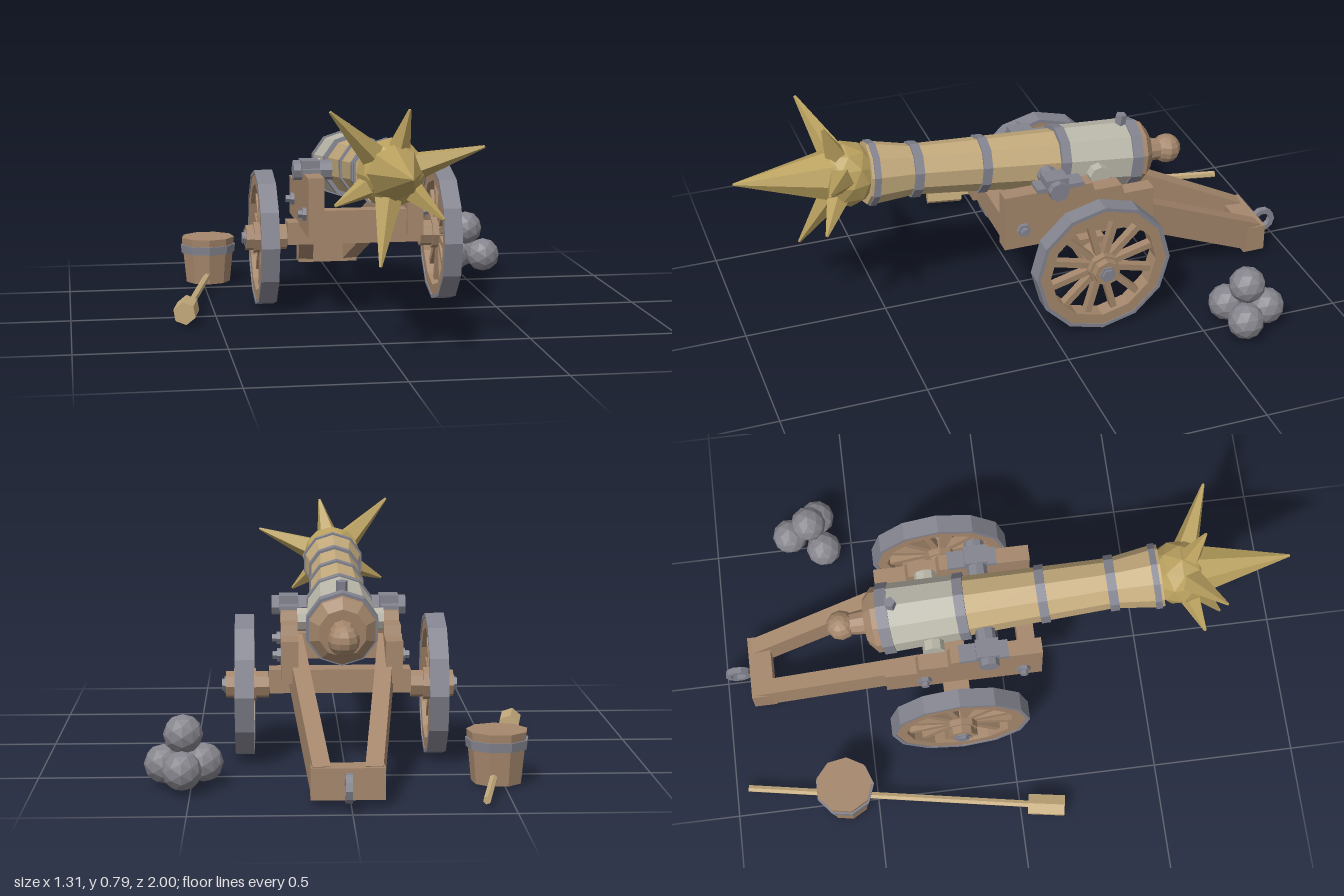
import * as THREE from 'three';

const mat = (name, color) => {
  const m = new THREE.MeshStandardMaterial({ color, flatShading: true });
  m.name = name;
  return m;
};

export function createModel() {
  const wood = mat('brown wood', 0xa5876c);
  const bronze = mat('tan bronze', 0xc3aa7c);
  const steel = mat('blue grey steel', 0x83848f);
  const pale = mat('pale metal', 0xbab7aa);
  const gold = mat('dull gold', 0xb9a05e);
  const iron = mat('grey iron', 0x86858d);

  const root = new THREE.Group();
  const cannon = new THREE.Group();
  cannon.name = 'cannon';
  cannon.position.x = 0.01;
  root.add(cannon);

  const add = (parent, name, geo, material, x = 0, y = 0, z = 0) => {
    const m = new THREE.Mesh(geo, material);
    m.name = name;
    m.position.set(x, y, z);
    parent.add(m);
    return m;
  };
  const box = (w, h, d) => new THREE.BoxGeometry(w, h, d);
  const rodX = (r, len, sides) => new THREE.CylinderGeometry(r, r, len, sides).rotateZ(Math.PI / 2);
  const lathe = (pts, sides) =>
    new THREE.LatheGeometry(pts.map(([r, h]) => new THREE.Vector2(r, h)), sides);
  // Solid of revolution running along z, points given as [radius, z]
  const latheZ = (pts, sides = 10) => lathe(pts, sides).rotateX(Math.PI / 2);
  // Flat polygonal ring with its axle along x
  const ringX = (outer, inner, sides, width) => {
    const loop = (r) => Array.from({ length: sides }, (_, i) => {
      const a = (i / sides) * Math.PI * 2;
      return new THREE.Vector2(Math.cos(a) * r, Math.sin(a) * r);
    });
    const s = new THREE.Shape(loop(outer));
    s.holes.push(new THREE.Path(loop(inner)));
    return new THREE.ExtrudeGeometry(s, { depth: width, bevelEnabled: false })
      .translate(0, 0, -width / 2).rotateY(-Math.PI / 2);
  };
  // Cone or rod between two points
  const between = (parent, name, a, b, r0, r1, sides, material) => {
    const d = b.clone().sub(a);
    const m = add(parent, name, new THREE.CylinderGeometry(r1, r0, d.length(), sides), material);
    m.position.copy(a).add(b).multiplyScalar(0.5);
    m.quaternion.setFromUnitVectors(new THREE.Vector3(0, 1, 0), d.normalize());
    return m;
  };
  const V = (x, y, z) => new THREE.Vector3(x, y, z);

  // Barrel, tilted slightly upward
  const barrel = new THREE.Group();
  barrel.name = 'barrel';
  barrel.position.y = 0.513;
  barrel.rotation.x = -0.105;
  cannon.add(barrel);
  add(barrel, 'chase', latheZ([[0, -0.14], [0.104, -0.14], [0.094, 0.15], [0.087, 0.39],
    [0.107, 0.53], [0.107, 0.56], [0, 0.56]]), bronze);
  add(barrel, 'breech', latheZ([[0, -0.38], [0.119, -0.38], [0.112, -0.13], [0, -0.13]]), pale);
  add(barrel, 'breechCap', latheZ([[0, -0.465], [0.08, -0.465], [0.114, -0.435], [0.114, -0.37], [0, -0.37]]), wood);
  add(barrel, 'knobNeck', latheZ([[0.035, -0.54], [0.045, -0.46]]), wood);
  add(barrel, 'knob', new THREE.SphereGeometry(0.052, 10, 8), wood, 0, 0, -0.553);
  for (const [z, r, w] of [[-0.395, 0.124, 0.04], [-0.13, 0.117, 0.035], [0.15, 0.101, 0.032],
    [0.39, 0.097, 0.032], [0.54, 0.113, 0.022]]) {
    add(barrel, 'barrelBand', latheZ([[0, -w / 2], [r, -w / 2], [r, w / 2], [0, w / 2]]), steel, 0, 0, z);
  }
  add(barrel, 'vent', new THREE.CylinderGeometry(0.02, 0.02, 0.05, 5), steel, 0, 0.125, -0.36);
  add(barrel, 'sideLugs', rodX(0.038, 0.29, 8), pale, 0, -0.01, -0.245);
  add(barrel, 'trunnion', rodX(0.035, 0.46, 8), steel, 0, -0.008, -0.062);

  // Spiked ball in the muzzle
  const mace = new THREE.Group();
  mace.name = 'spikedBall';
  cannon.add(mace);
  const centre = V(0, 0.582, 0.62);
  add(mace, 'ball', new THREE.IcosahedronGeometry(0.112, 1), gold, ...centre);
  between(mace, 'mainSpike', V(0, 0.587, 0.66), V(0, 0.615, 1), 0.095, 0.004, 8, gold);
  for (const tip of [[-0.21, 0.79, 0.73], [0.045, 0.79, 0.7], [0.275, 0.675, 0.74],
    [0.15, 0.445, 0.73], [-0.06, 0.31, 0.78], [-0.19, 0.49, 0.69]]) {
    between(mace, 'spike', centre, V(...tip), 0.062, 0.005, 5, gold);
  }

  // Carriage
  const cheekShape = new THREE.Shape([[0.126, 0.29], [0.126, 0.495], [-0.19, 0.495], [-0.2, 0.465],
    [-0.3, 0.465], [-0.31, 0.43], [-0.42, 0.43], [-0.42, 0.29]].map(([z, y]) => new THREE.Vector2(z, y)));
  const cheekGeo = new THREE.ExtrudeGeometry(cheekShape, { depth: 0.056, bevelEnabled: false })
    .rotateY(-Math.PI / 2).translate(0.028, 0, 0);
  add(cannon, 'frontTransom', box(0.4, 0.09, 0.06), wood, 0, 0.335, 0.082);
  add(cannon, 'axleBed', box(0.48, 0.08, 0.09), wood, 0, 0.26, -0.178);
  add(cannon, 'axle', rodX(0.022, 0.8, 6), steel, 0, 0.243, -0.178);

  for (const s of [-1, 1]) {
    add(cannon, 'cheek', cheekGeo, wood, s * 0.172, 0, 0);
    add(cannon, 'trunnionPlate', box(0.062, 0.016, 0.17), steel, s * 0.172, 0.5, -0.075);
    add(cannon, 'trunnionCap', box(0.066, 0.045, 0.08), steel, s * 0.172, 0.513, -0.062);
    for (const z of [0.06, -0.285]) {
      add(cannon, 'boltPlate', rodX(0.024, 0.016, 6), steel, s * 0.206, 0.363, z);
      add(cannon, 'boltHead', rodX(0.014, 0.034, 6), steel, s * 0.212, 0.363, z);
    }
    // Trail beam slanting down and inward
    const a = V(s * 0.158, 0.378, -0.22), b = V(s * 0.083, 0.075, -0.87);
    const beam = add(cannon, 'trailBeam', box(0.056, 0.108, a.distanceTo(b)), wood);
    beam.position.copy(a).add(b).multiplyScalar(0.5);
    beam.lookAt(V(b.x + cannon.position.x, b.y, b.z));

    // Wheel
    const wheel = new THREE.Group();
    wheel.name = s > 0 ? 'leftWheel' : 'rightWheel';
    wheel.position.set(s * 0.322, 0.243, -0.178);
    cannon.add(wheel);
    add(wheel, 'tyre', ringX(0.243, 0.23, 12, 0.064), steel);
    add(wheel, 'rim', ringX(0.231, 0.192, 12, 0.058), wood);
    add(wheel, 'hub', rodX(0.046, 0.145, 8), wood, -s * 0.008);
    add(wheel, 'hubCollar', rodX(0.056, 0.075, 8), wood);
    add(wheel, 'hubNut', rodX(0.03, 0.008, 6), steel, s * 0.066);
    for (let i = 0; i < 12; i++) {
      const spoke = add(wheel, 'spoke', box(0.03, 0.17, 0.022).translate(0, 0.12, 0), wood);
      spoke.rotation.x = ((i + 0.5) / 12) * Math.PI * 2;
    }
  }
  add(cannon, 'trailBlock', box(0.23, 0.1, 0.08), wood, 0, 0.072, -0.868);
  add(cannon, 'towingRing', ringX(0.046, 0.028, 10, 0.022), steel, 0, 0.072, -0.954);

  // Stacked cannonballs
  for (const p of [[0.525, 0.073, -0.72], [0.46, 0.073, -0.6], [0.587, 0.073, -0.615], [0.523, 0.175, -0.643]]) {
    add(root, 'cannonball', new THREE.IcosahedronGeometry(0.064, 1), iron, ...p);
  }

  // Bucket and sponge rod
  const bucket = new THREE.Group();
  bucket.name = 'bucket';
  bucket.position.set(-0.48, 0, -0.61);
  root.add(bucket);
  add(bucket, 'bucketBody', new THREE.CylinderGeometry(0.1, 0.083, 0.17, 9), wood, 0, 0.09, 0);
  add(bucket, 'bucketHoop', new THREE.CylinderGeometry(0.104, 0.101, 0.03, 9), steel, 0, 0.133, 0);
  between(root, 'spongeRod', V(-0.41, 0.03, -0.955), V(-0.598, 0.042, 0.04), 0.013, 0.013, 6, bronze);
  between(root, 'spongeHead', V(-0.597, 0.045, 0.028), V(-0.619, 0.046, 0.155), 0.04, 0.04, 6, bronze);

  return root;
}
